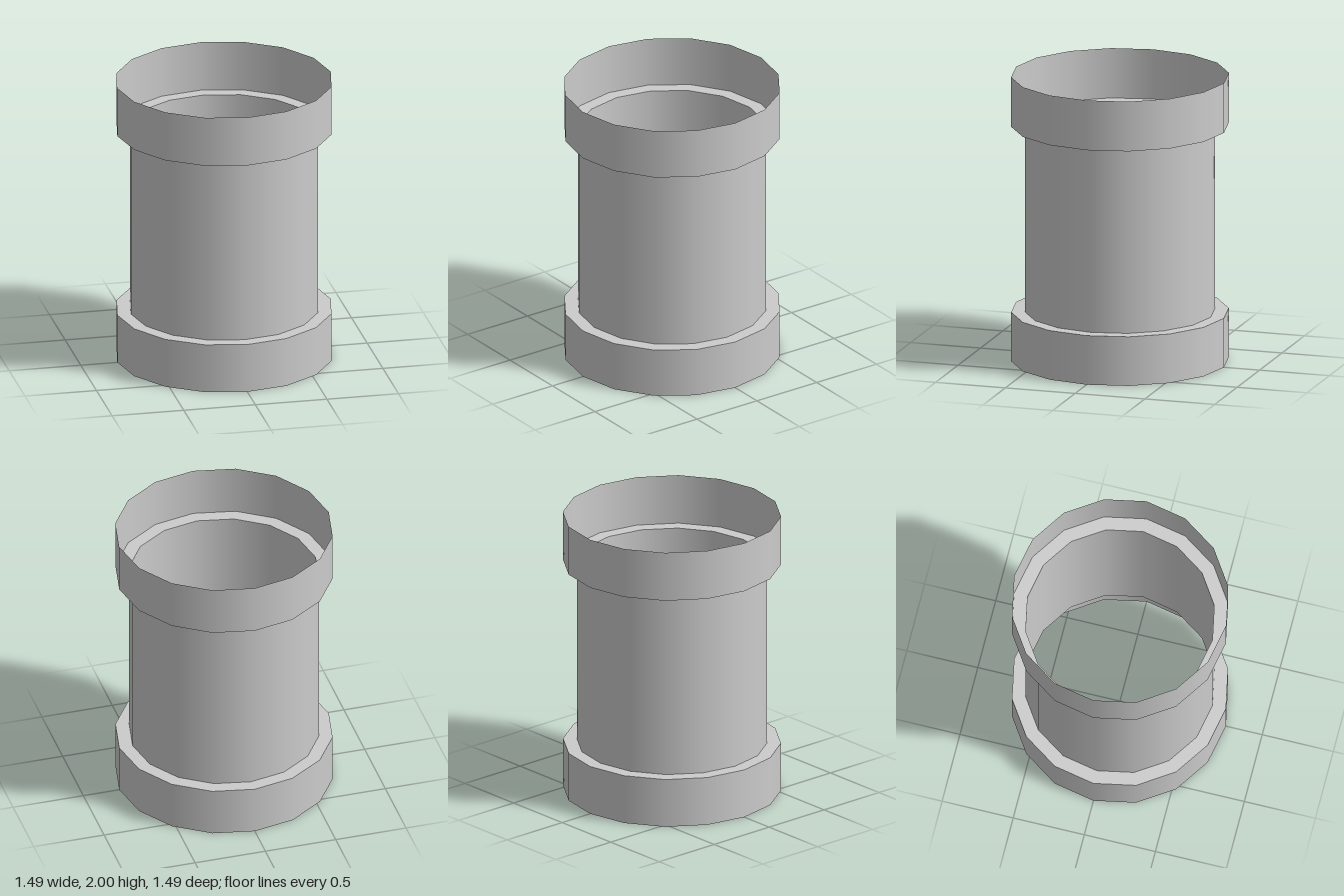
import * as THREE from 'three';

const SIDES = 16;
const TUBE_R = 0.65, COLLAR_R = 0.745;
const LOW = 0.345, HIGH = 1.65, TOP = 2;

export function createModel() {
  const group = new THREE.Group();
  group.name = 'pipeConnector';
  const grey = new THREE.MeshStandardMaterial({ color: 0xcccccc, side: THREE.DoubleSide });
  grey.name = 'light grey';

  const add = (name, geometry, y) => {
    const mesh = new THREE.Mesh(geometry, grey);
    mesh.name = name;
    mesh.position.y = y;
    group.add(mesh);
  };

  // open thin-walled sleeve between two heights
  const sleeve = (name, radius, y0, y1) =>
    add(name, new THREE.CylinderGeometry(radius, radius, y1 - y0, SIDES, 1, true), (y0 + y1) / 2);

  // flat step joining the tube to a collar
  const ledge = (name, y) =>
    add(name, new THREE.RingGeometry(TUBE_R, COLLAR_R, SIDES).rotateX(-Math.PI / 2), y);

  sleeve('bottomCollar', COLLAR_R, 0, LOW);
  ledge('bottomLedge', LOW);
  sleeve('tube', TUBE_R, LOW, HIGH);
  ledge('topLedge', HIGH);
  sleeve('topCollar', COLLAR_R, HIGH, TOP);

  return group;
}
